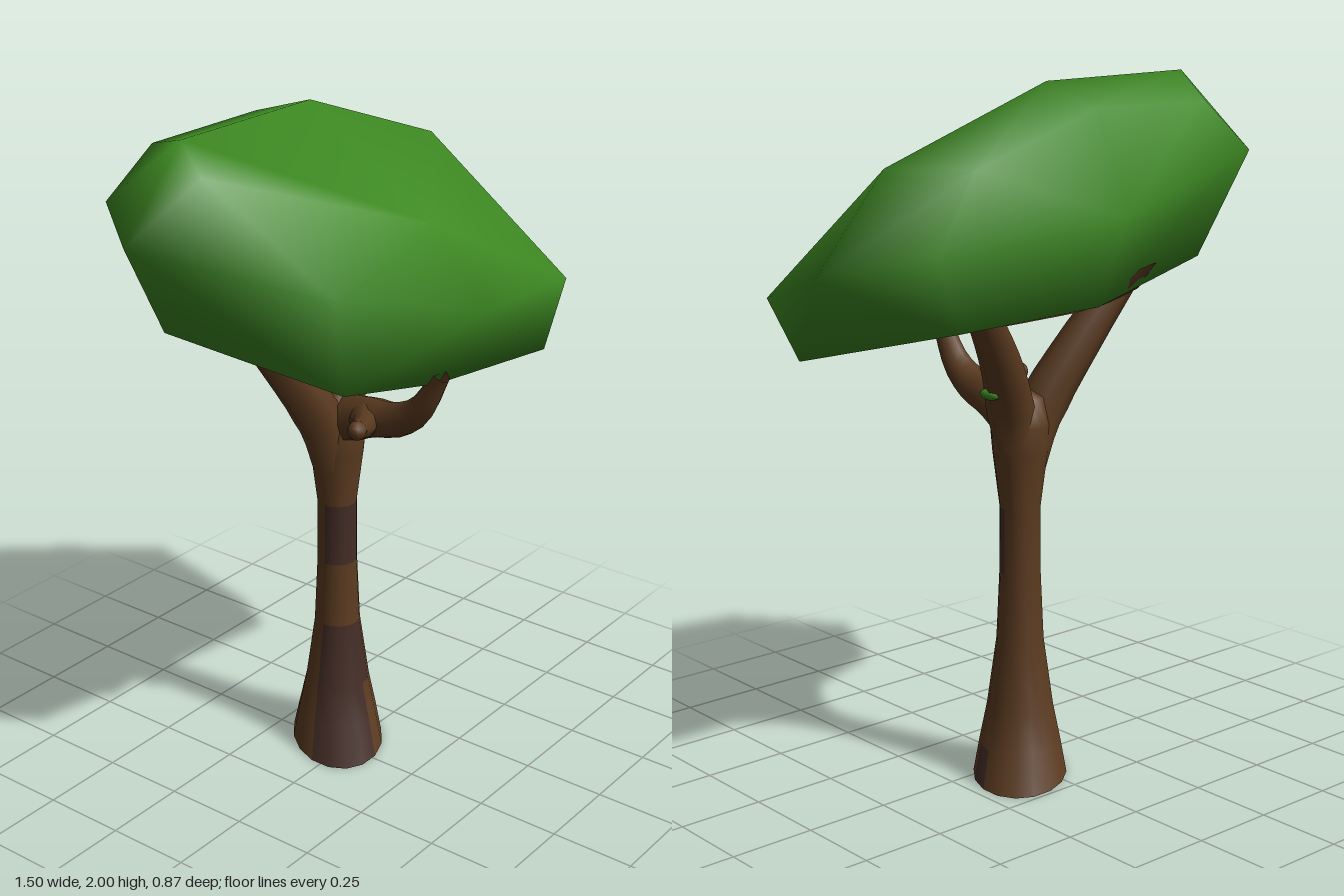
import * as THREE from 'three';
import { mergeVertices } from 'three/addons/utils/BufferGeometryUtils.js';
import { ConvexGeometry } from 'three/addons/geometries/ConvexGeometry.js';

const V = (x, y, z) => new THREE.Vector3(x, y, z);
const material = (name, color, side = THREE.FrontSide) => {
  const m = new THREE.MeshStandardMaterial({ color, side });
  m.name = name;
  return m;
};

// Tube along a smooth path whose radius follows the given list
function branchGeometry(points, radii, steps = 12, sides = 8) {
  const curve = new THREE.CatmullRomCurve3(points);
  const geo = new THREE.TubeGeometry(curve, steps, 1, sides);
  const pos = geo.attributes.position;
  const v = V(0, 0, 0);
  for (let i = 0; i < pos.count; i++) {
    const t = Math.floor(i / (sides + 1)) / steps;
    const c = curve.getPointAt(t);
    const k = t * (radii.length - 1);
    const a = Math.min(Math.floor(k), radii.length - 2);
    const r = THREE.MathUtils.lerp(radii[a], radii[a + 1], k - a);
    v.fromBufferAttribute(pos, i).sub(c).multiplyScalar(r).add(c);
    pos.setXYZ(i, v.x, v.y, v.z);
  }
  return geo;
}

export function createModel() {
  const tree = new THREE.Group();
  tree.name = 'tree';
  const leaf = material('leafGreen', 0x3d8822);
  const bark = material('barkBrown', 0x5b3b20, THREE.DoubleSide);
  const darkBark = material('darkBark', 0x442d26, THREE.DoubleSide);
  const add = (name, geo, mat) => {
    const mesh = new THREE.Mesh(geo, mat);
    mesh.name = name;
    tree.add(mesh);
    return mesh;
  };

  // Crown: a tilted faceted hull with smooth normals
  const hull = new ConvexGeometry([
    // ends
    V(-0.75, 1.77, -0.11), V(0.745, 1.52, -0.07),
    // left ring
    V(-0.54, 2, -0.1), V(-0.58, 1.93, 0), V(-0.42, 1.93, -0.31), V(-0.54, 1.79, -0.37),
    V(-0.54, 1.47, -0.18), V(-0.37, 1.35, 0.28), V(-0.47, 1.65, 0.335),
    // middle ring
    V(0, 1.99, -0.12), V(0, 1.93, -0.31), V(0, 1.65, -0.435), V(0, 1.4, -0.33),
    V(0.05, 1.25, 0.28), V(0.07, 1.49, 0.43), V(-0.05, 1.74, 0.335),
    // right ring
    V(0.54, 1.79, -0.1), V(0.41, 1.79, -0.3), V(0.54, 1.58, -0.31), V(0.46, 1.38, -0.31),
    V(0.515, 1.22, 0.33), V(0.616, 1.41, 0.333),
  ]);
  hull.deleteAttribute('normal');
  hull.deleteAttribute('uv');
  const crownGeo = mergeVertices(hull, 1e-4);
  crownGeo.computeVertexNormals();
  const crown = add('crown', crownGeo, leaf);

  // Brown patch lying against the crown's underside
  crown.updateMatrixWorld(true);
  const ray = new THREE.Raycaster();
  const rings = 5, spokes = 18, patch = [], faces = [];
  for (let j = 0; j <= rings; j++) {
    for (let i = 0; i < spokes; i++) {
      const a = (i / spokes) * Math.PI * 2;
      const r = (j / rings) * (1 + 0.2 * Math.sin(3 * a + 1));
      const x = -0.1 + 0.25 * r * Math.cos(a), z = -0.1 + 0.2 * r * Math.sin(a);
      ray.set(V(x, 0, z), V(0, 1, 0));
      const hit = ray.intersectObject(crown)[0];
      patch.push(x, (hit ? hit.point.y : 1.35) - 0.006, z);
      if (j < rings) {
        const n = (i + 1) % spokes, p = j * spokes, q = p + spokes;
        faces.push(p + i, q + i, q + n, p + i, q + n, p + n);
      }
    }
  }
  const patchGeo = new THREE.BufferGeometry();
  patchGeo.setAttribute('position', new THREE.Float32BufferAttribute(patch, 3));
  patchGeo.setIndex(faces);
  patchGeo.computeVertexNormals();
  add('crownUndersidePatch', patchGeo, bark);

  // Trunk: open flared shell, with dark bark on chosen faces
  const profile = [[0.17, 0], [0.132, 0.1], [0.096, 0.21], [0.068, 0.41], [0.059, 0.61],
    [0.058, 0.8], [0.078, 0.96], [0.085, 1.04], [0.07, 1.12], [0, 1.15]];
  const sides = 16, bands = profile.length - 1;
  const trunkGeo = new THREE.LatheGeometry(profile.map(([r, y]) => new THREE.Vector2(r, y)), sides);
  const isDark = (s, b) =>
    (s >= 12 && b <= 2) || (s === 0 && b === 2) || ((s >= 12 || s <= 3) && b === 4) || (s === 3 && b === 0);
  for (let s = 0; s < sides; s++) {
    for (let b = 0; b < bands; b++) {
      trunkGeo.addGroup((s * bands + b) * 6, 6, isDark(s, b) ? 1 : 0);
    }
  }
  // The foot spreads along one diagonal and narrows along the other
  const pos = trunkGeo.attributes.position;
  for (let i = 0; i < pos.count; i++) {
    const x = pos.getX(i), z = pos.getZ(i);
    const k = 0.2 * Math.max(0, 1 - pos.getY(i) / 0.21);
    pos.setX(i, x - k * z);
    pos.setZ(i, z - k * x);
  }
  const trunk = add('trunk', trunkGeo, [bark, darkBark]);
  trunk.position.set(0.048, 0, -0.067);

  // Branches reaching into the crown
  add('leftBranch', branchGeometry(
    [V(0.03, 0.9, -0.07), V(-0.02, 1.07, -0.075), V(-0.12, 1.24, -0.11), V(-0.27, 1.45, -0.16)],
    [0.052, 0.07, 0.06, 0.045]), bark);
  add('rightBranch', branchGeometry(
    [V(0.055, 0.9, -0.07), V(0.095, 1.07, -0.085), V(0.17, 1.23, -0.13), V(0.3, 1.42, -0.19)],
    [0.052, 0.068, 0.057, 0.045]), bark);
  add('frontBranch', branchGeometry(
    [V(0.05, 1.05, -0.08), V(0.04, 1.095, 0.05), V(0.03, 1.115, 0.15), V(0.025, 1.165, 0.235), V(0.025, 1.29, 0.31)],
    [0.08, 0.064, 0.052, 0.038, 0.026]), bark);

  // Short blunt side twig with a rounded end
  add('sideTwig', branchGeometry(
    [V(0.03, 1.1, 0.05), V(-0.05, 1.11, 0.1), V(-0.13, 1.135, 0.14)],
    [0.05, 0.036, 0.028]), bark);
  add('twigEnd', new THREE.SphereGeometry(0.028, 8, 6), bark).position.set(-0.13, 1.135, 0.14);

  // Small leaf bud on the right branch
  const bud = add('leafBud', new THREE.SphereGeometry(1, 10, 6), leaf);
  bud.scale.set(0.02, 0.016, 0.038);
  bud.position.set(0.187, 1.15, -0.1);
  return tree;
}
